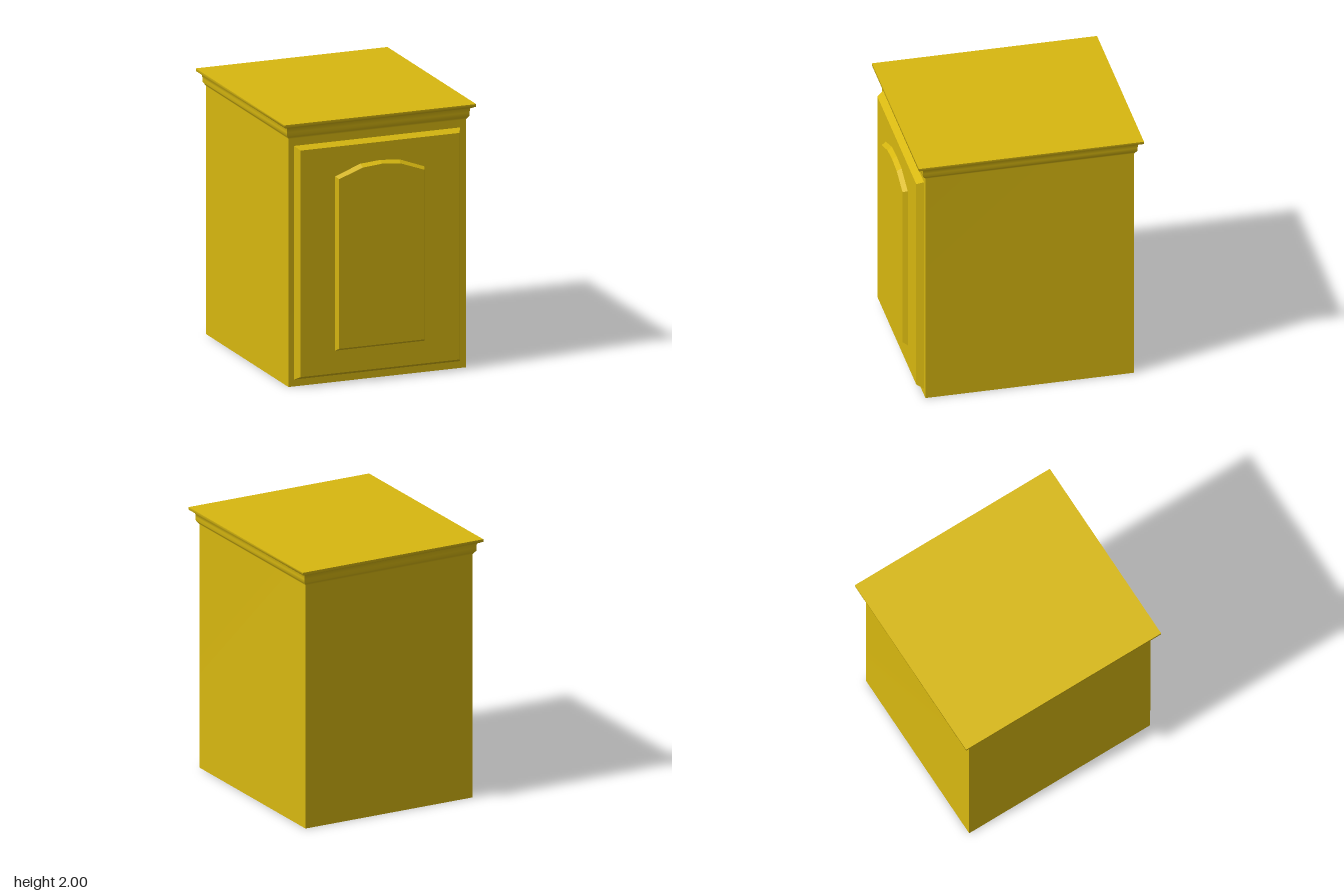
import * as THREE from 'three';

const material = new THREE.MeshStandardMaterial({ color: 0xd8b810 });

// Skins a stack of counter-clockwise convex loops along +z and caps both ends.
// Each side is its own strip, so corners stay sharp while the profile shades smoothly.
function loft(levels) {
  const positions = [], index = [];
  const add = ([x, y], z) => positions.push(x, y, z) / 3 - 1;
  const count = levels[0].loop.length;

  for (let i = 0; i < count; i++) {
    const j = (i + 1) % count;
    const start = positions.length / 3;
    levels.forEach(({ loop, z }) => { add(loop[i], z); add(loop[j], z); });
    for (let k = 0; k < levels.length - 1; k++) {
      const a = start + 2 * k;
      index.push(a, a + 1, a + 3, a, a + 3, a + 2);
    }
  }
  [levels[0], levels[levels.length - 1]].forEach(({ loop, z }, end) => {
    const start = positions.length / 3;
    loop.forEach(p => add(p, z));
    for (let i = 1; i < count - 1; i++) {
      if (end) index.push(start, start + i, start + i + 1);
      else index.push(start, start + i + 1, start + i);
    }
  });

  const geometry = new THREE.BufferGeometry();
  geometry.setAttribute('position', new THREE.Float32BufferAttribute(positions, 3));
  geometry.setIndex(index);
  geometry.computeVertexNormals();
  return geometry;
}

const rect = (halfWidth, bottom, top) => [
  [-halfWidth, bottom], [halfWidth, bottom], [halfWidth, top], [-halfWidth, top],
];

// Rectangle with a shallow faceted arch along its top
const arch = (halfWidth, bottom, shoulder, kneeX, kneeY, crown) => [
  [-halfWidth, bottom], [halfWidth, bottom], [halfWidth, shoulder],
  [kneeX, kneeY], [0, crown], [-kneeX, kneeY], [-halfWidth, shoulder],
];

export function createModel() {
  const group = new THREE.Group();
  const addPart = (name, geometry) => {
    const mesh = new THREE.Mesh(geometry, material);
    mesh.name = name;
    group.add(mesh);
  };

  // Carcass with moulded cornice: [height, overhang]
  const profile = [
    [0, 0], [1.875, 0], [1.89, 0.009], [1.905, 0.02], [1.93, 0.02],
    [1.962, 0.023], [1.97, 0.038], [1.98, 0.056], [2, 0.056],
  ];
  const body = loft(profile.map(([z, out]) => ({
    z, loop: rect(0.7 + out, -0.78 - out * 1.1, 0.78 + out * 1.1),
  })));
  body.rotateX(-Math.PI / 2).translate(0, 0, -0.012);
  addPart('cabinetBody', body);

  // Bevelled door slab
  addPart('door', loft([
    { z: 0.765, loop: rect(0.657, 0.05, 1.82) },
    { z: 0.82, loop: rect(0.627, 0.08, 1.793) },
  ]));

  // Raised arched panel
  addPart('raisedPanel', loft([
    { z: 0.818, loop: arch(0.355, 0.25, 1.57, 0.155, 1.645, 1.657) },
    { z: 0.855, loop: arch(0.336, 0.272, 1.555, 0.148, 1.623, 1.636) },
  ]));

  return group;
}
